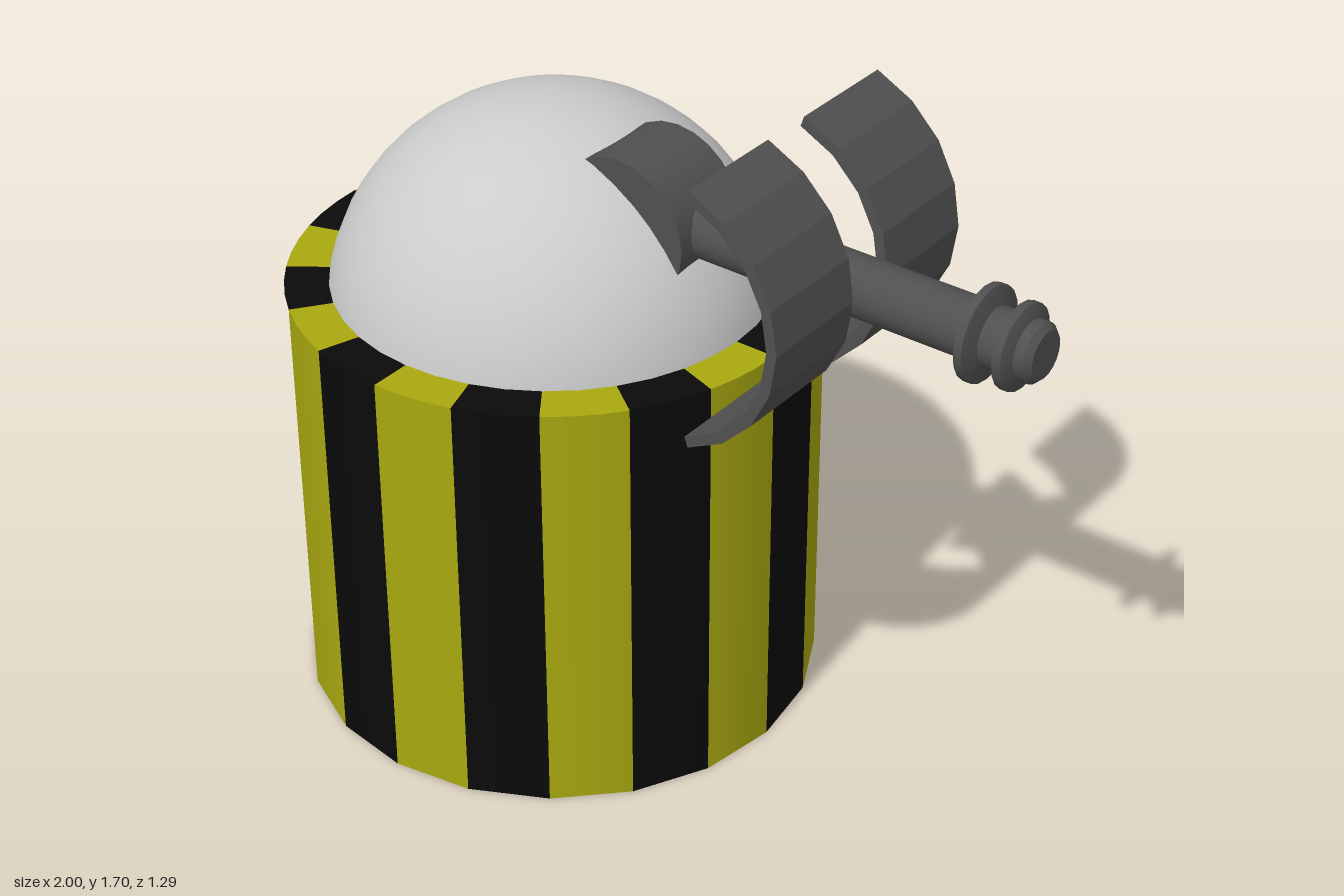
import * as THREE from 'three';
import { mergeGeometries } from 'three/addons/utils/BufferGeometryUtils.js';

const AXIS_X = -0.353; // centre of the base drum
const BARREL_Y = 1.37;
const SIDES = 20;

const grey = new THREE.MeshStandardMaterial({ color: 0xcccccc });
const dark = new THREE.MeshStandardMaterial({ color: 0x505050 });
const yellow = new THREE.MeshStandardMaterial({ color: 0xa8a810, side: THREE.DoubleSide });
const black = new THREE.MeshStandardMaterial({ color: 0x0a0a0a, side: THREE.DoubleSide });

function addMesh(parent, name, geometry, material) {
  const mesh = new THREE.Mesh(geometry, material);
  mesh.name = name;
  parent.add(mesh);
  return mesh;
}

// Every second wall panel with its piece of the top rim, open underneath
function stripes(first) {
  const step = (Math.PI * 2) / SIDES;
  const parts = [];
  for (let i = first; i < SIDES; i += 2) {
    const wall = new THREE.CylinderGeometry(0.647, 0.647, 1.1, 1, 1, true, Math.PI / 2 - (i + 1) * step, step);
    wall.translate(0, 0.55, 0);
    const rim = new THREE.RingGeometry(0.53, 0.647, 1, 1, -(i + 1) * step, step);
    rim.rotateX(-Math.PI / 2).translate(0, 1.1, 0);
    parts.push(wall, rim);
  }
  return mergeGeometries(parts);
}

// Solid of revolution around the x axis; points are [radius, x]
function turned(points, segments = 20) {
  const profile = points.map(([r, x]) => new THREE.Vector2(r, x));
  const geometry = new THREE.LatheGeometry(profile, segments);
  return geometry.rotateZ(-Math.PI / 2);
}

// Curved plate: an arc band extruded along z
function plateGeometry() {
  const shape = new THREE.Shape();
  const steps = 8, outer = 0.342, inner = 0.315, half = Math.PI * 0.4;
  for (let i = 0; i <= steps; i++) {
    const a = -half + (2 * half * i) / steps;
    const x = outer * Math.cos(a), y = outer * Math.sin(a);
    if (i === 0) shape.moveTo(x, y); else shape.lineTo(x, y);
  }
  for (let i = steps; i >= 0; i--) {
    const a = -half + (2 * half * i) / steps;
    shape.lineTo(inner * Math.cos(a), inner * Math.sin(a));
  }
  shape.closePath();
  const depth = 0.288;
  return new THREE.ExtrudeGeometry(shape, { depth, bevelEnabled: false }).translate(0, 0, -depth / 2);
}

export function createModel() {
  const model = new THREE.Group();
  model.name = 'domeTurret';

  // Striped base drum
  const base = new THREE.Group();
  base.name = 'base';
  base.position.x = AXIS_X;
  model.add(base);
  addMesh(base, 'yellowStripes', stripes(0), yellow);
  addMesh(base, 'blackStripes', stripes(1), black);

  // Dome set into the rim
  addMesh(model, 'dome', new THREE.SphereGeometry(0.55, 40, 28), grey).position.set(AXIS_X, 1.005, 0);

  // Pivot block on the dome
  const pivot = new THREE.CylinderGeometry(0.18, 0.18, 0.22, 24).rotateX(Math.PI / 2);
  addMesh(model, 'pivot', pivot, dark).position.set(-0.07, 1.357, 0);

  // Gun: barrel, muzzle collars and shield plates
  const gun = new THREE.Group();
  gun.name = 'gun';
  gun.position.y = BARREL_Y;
  model.add(gun);
  const barrel = turned([[0, -0.05], [0.071, -0.05], [0.071, 0.985], [0.071, 0.985], [0.057, 1], [0.057, 1], [0, 1]]);
  addMesh(gun, 'barrel', barrel, dark);
  for (const [x, r] of [[0.848, 0.114], [0.937, 0.102]]) {
    const collar = turned([[0.06, -0.023], [0.075, -0.023], [r, -0.01], [r, -0.01], [r, 0.01], [r, 0.01], [0.075, 0.023], [0.06, 0.023]]);
    addMesh(gun, 'muzzleCollar', collar, dark).position.x = x;
  }
  for (const side of [-1, 1]) {
    const name = side > 0 ? 'frontShieldPlate' : 'backShieldPlate';
    addMesh(gun, name, plateGeometry(), dark).position.set(0.207, 0, side * 0.211);
  }

  return model;
}
